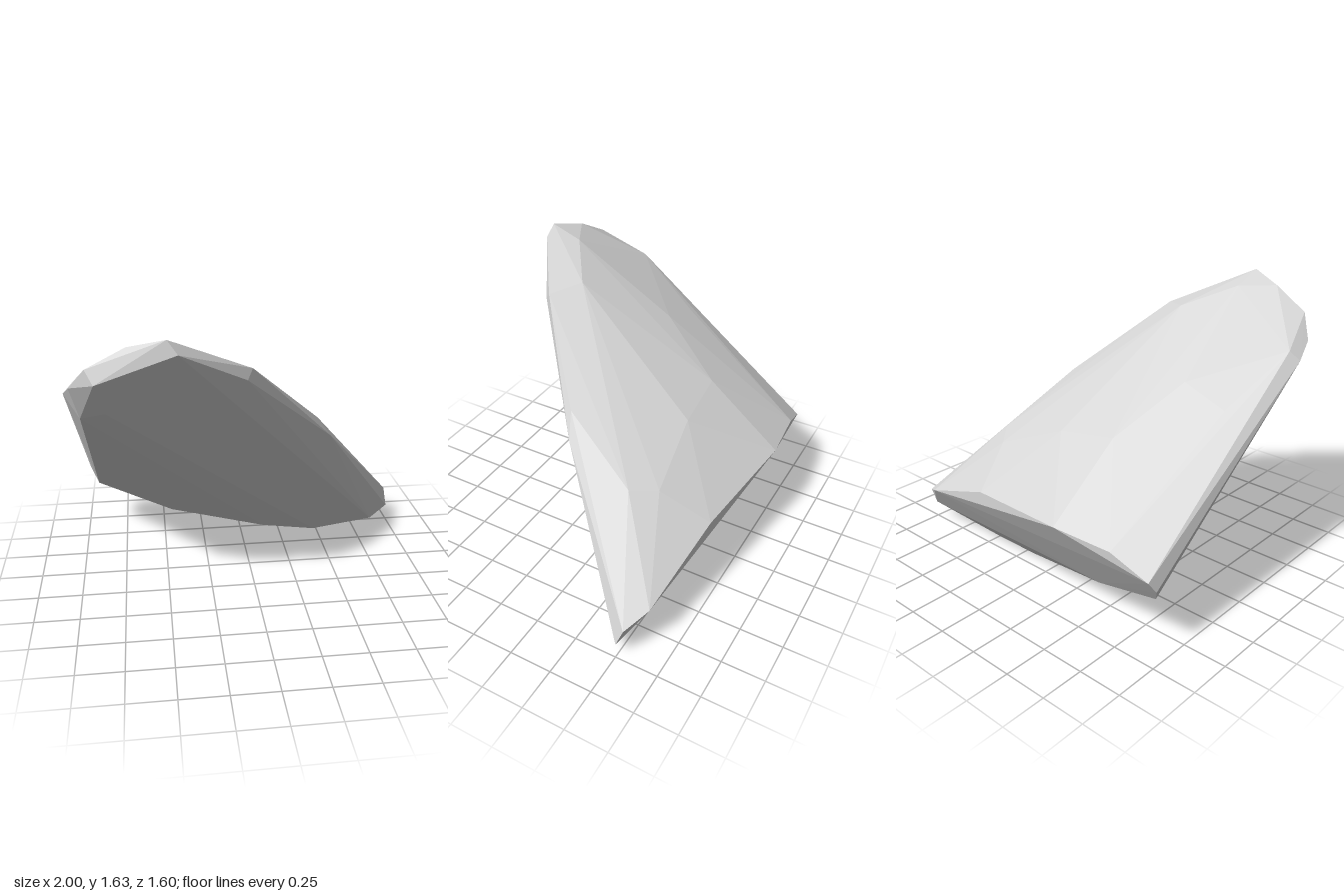
import * as THREE from 'three';
import { ConvexGeometry } from 'three/addons/geometries/ConvexGeometry.js';

const points = (rows) => rows.map((p) => new THREE.Vector3(...p));

export function createModel() {
  const group = new THREE.Group();
  group.name = 'rock';
  const stone = new THREE.MeshStandardMaterial({ color: 0xd6d6d6, flatShading: true });
  stone.name = 'paleStone';

  // rim of the sloping upper face, from the peak round to the right side
  const upperRim = points([
    [-0.48, 1.63, 0.78], [-0.05, 1.41, 0.54], [0.37, 0.99, 0.14], [0.51, 0.71, -0.3],
    [0.99, 0.21, -0.54], [0.85, 0.28, -0.62], [0.3, 0.49, -0.7], [-0.38, 0.57, -0.8],
    [-0.73, 0.555, -0.767], [-0.95, 0.46, -0.74], [-1, 1.28, 0.43], [-0.96, 1.35, 0.57],
    [-0.87, 1.47, 0.67], [-0.67, 1.58, 0.7],
  ]);
  // gentle facets across the upper face
  const upperFace = points([
    [-0.48, 1.565, 0.6], [-0.22, 1.44, 0.42], [-0.56, 1.165, 0.02], [-0.39, 0.915, -0.36],
    [-0.03, 0.86, -0.38], [0.4, 0.68, -0.43], [-0.83, 1.08, 0], [-0.95, 1.33, 0.4],
  ]);
  // rim and facets of the underside
  const underside = points([
    [-0.43, 1.56, 0.8], [-0.08, 1.36, 0.58], [0.46, 0.86, 0.1], [1, 0.1, -0.5],
    [0.87, 0.05, -0.42], [0.48, 0, -0.41], [0.15, 0.03, -0.44], [-0.45, 0.14, -0.53],
    [-0.92, 0.31, -0.64], [-0.97, 0.4, -0.7], [-0.92, 1.16, 0.48], [-0.83, 1.4, 0.71],
    [-0.79, 1.21, 0.57], [-0.77, 0.7, -0.07], [-0.54, 0.58, -0.04], [0.2, 0.98, 0.265],
  ]);

  const slab = new THREE.Mesh(new ConvexGeometry([...upperRim, ...upperFace, ...underside]), stone);
  slab.name = 'rockSlab';
  group.add(slab);
  return group;
}
